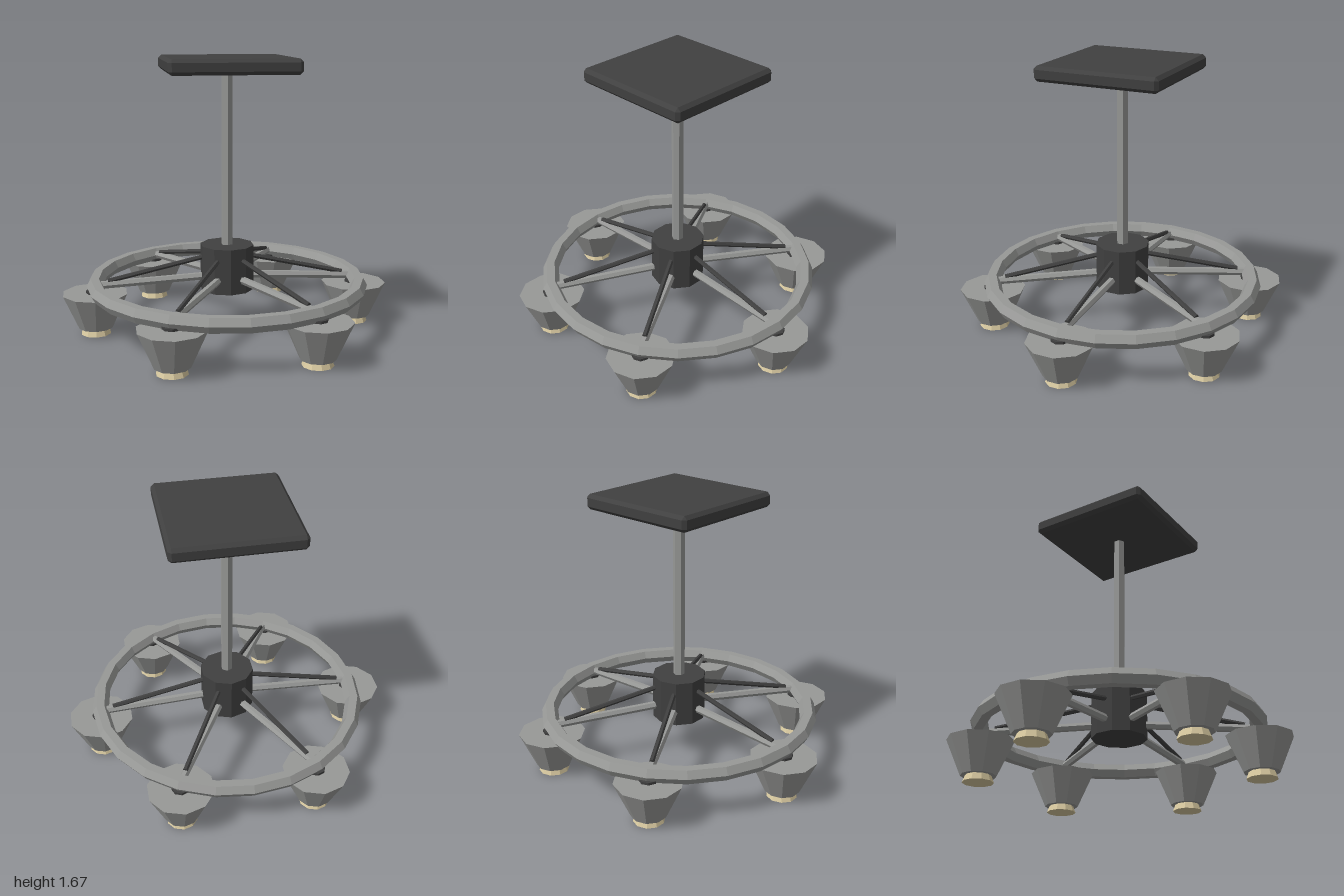
import * as THREE from 'three';
import { ConvexGeometry } from 'three/addons/geometries/ConvexGeometry.js';

const RING_RADIUS = 0.81;

// Faceted copy of a geometry: every face gets its own normal
function faceted(geometry) {
  const flat = geometry.index ? geometry.toNonIndexed() : geometry;
  flat.computeVertexNormals();
  return flat;
}

function addMesh(parent, name, geometry, material) {
  const mesh = new THREE.Mesh(faceted(geometry), material);
  mesh.name = name;
  parent.add(mesh);
  return mesh;
}

// Upright prism or frustum between two heights
function column(rTop, rBottom, y0, y1, sides) {
  return new THREE.CylinderGeometry(rTop, rBottom, y1 - y0, sides).translate(0, (y0 + y1) / 2, 0);
}

// Straight rod between two points
function rod(from, to, radius) {
  const dir = to.clone().sub(from);
  const geometry = new THREE.CylinderGeometry(radius, radius, dir.length(), 6);
  const turn = new THREE.Quaternion().setFromUnitVectors(new THREE.Vector3(0, 1, 0), dir.normalize());
  const middle = from.clone().add(to).multiplyScalar(0.5);
  return geometry.applyQuaternion(turn).translate(middle.x, middle.y, middle.z);
}

// Box with all edges chamfered
function chamferedBox(w, h, d, c) {
  const points = [];
  for (const sx of [-1, 1]) for (const sy of [-1, 1]) for (const sz of [-1, 1]) {
    const x = w / 2, y = h / 2, z = d / 2;
    points.push(
      new THREE.Vector3(sx * x, sy * (y - c), sz * (z - c)),
      new THREE.Vector3(sx * (x - c), sy * y, sz * (z - c)),
      new THREE.Vector3(sx * (x - c), sy * (y - c), sz * z)
    );
  }
  return new ConvexGeometry(points);
}

export function createModel() {
  const metal = new THREE.MeshStandardMaterial({ color: 0x989997 });
  metal.name = 'light grey metal';
  const dark = new THREE.MeshStandardMaterial({ color: 0x404040 });
  dark.name = 'dark grey';
  const beige = new THREE.MeshStandardMaterial({ color: 0xd8c9a0 });
  beige.name = 'beige';

  const model = new THREE.Group();
  model.name = 'ringPlatform';

  // Central mast carrying the square plate
  addMesh(model, 'hub', column(0.165, 0.165, 0.25, 0.53, 10), dark);
  addMesh(model, 'mast', column(0.036, 0.036, 0.5, 1.6, 6), metal);
  addMesh(model, 'topPlate', chamferedBox(0.76, 0.09, 0.76, 0.02), dark).position.y = 1.625;

  // Hexagonal-section ring
  const ring = new THREE.TorusGeometry(RING_RADIUS, 0.05, 6, 24).rotateX(Math.PI / 2);
  addMesh(model, 'ring', ring, metal).position.y = 0.297;

  // Six arms, each with a spoke, a brace and a tapered foot
  for (let i = 0; i < 6; i++) {
    const a = (i * Math.PI) / 3;
    const at = (r, y) => new THREE.Vector3(r * Math.cos(a), y, r * Math.sin(a));

    addMesh(model, 'spoke', rod(at(0.1, 0.335), at(0.79, 0.3), 0.024), metal);
    addMesh(model, 'brace', rod(at(0.1, 0.465), at(0.73, 0.325), 0.015), dark);

    const foot = new THREE.Group();
    foot.name = 'foot';
    foot.position.copy(at(RING_RADIUS, 0));
    addMesh(foot, 'footMount', column(0.055, 0.055, 0.24, 0.27, 8), dark);
    addMesh(foot, 'footCone', column(0.2, 0.105, 0.04, 0.255, 10), metal);
    addMesh(foot, 'footPad', column(0.075, 0.092, 0, 0.045, 10), beige);
    model.add(foot);
  }

  return model;
}
